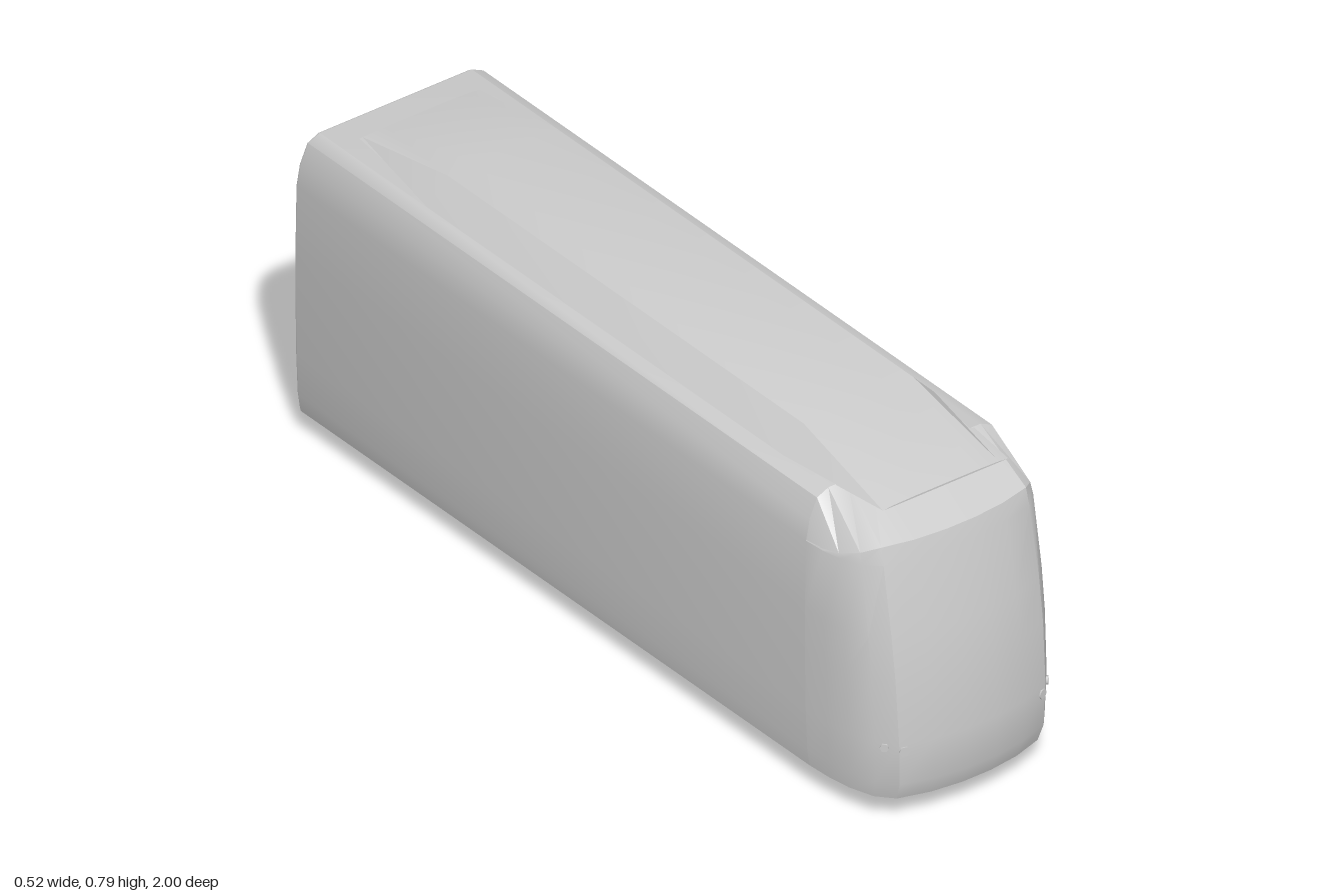
import * as THREE from 'three';
import { toCreasedNormals } from 'three/addons/utils/BufferGeometryUtils.js';

const paint = new THREE.MeshStandardMaterial({ color: 0xcccccc, side: THREE.DoubleSide });
paint.name = 'plain grey';

// Skin a row of equal-length cross-sections, optionally closed round and capped.
function loft(rings, { closed = true, capStart = true, capEnd = true, crease = 0.6 } = {}) {
  const n = rings[0].length, index = [];
  for (let i = 0; i < rings.length - 1; i++) {
    for (let j = 0; j < (closed ? n : n - 1); j++) {
      const k = (j + 1) % n;
      const a = i * n + j, b = i * n + k, c = a + n, d = b + n;
      index.push(a, b, d, a, d, c);
    }
  }
  const last = (rings.length - 1) * n;
  for (let j = 1; j < n - 1; j++) {
    if (capStart) index.push(0, j + 1, j);
    if (capEnd) index.push(last, last + j, last + j + 1);
  }
  const geo = new THREE.BufferGeometry();
  geo.setAttribute('position', new THREE.Float32BufferAttribute(rings.flat(2), 3));
  geo.setIndex(index);
  return toCreasedNormals(geo, crease);
}

function add(parent, name, geo) {
  const mesh = new THREE.Mesh(geo, paint);
  mesh.name = name;
  parent.add(mesh);
  return mesh;
}

// Half section of the body: half-width, height
const SIDE = [
  [0.25, 0.057], [0.256, 0.1], [0.26, 0.2], [0.262, 0.35], [0.262, 0.45],
  [0.259, 0.615], [0.25, 0.665], [0.23, 0.71], [0.2, 0.724],
];
const JOINT = 0.735; // z where the nose meets the body

function bodyRing(z, inset = 0) {
  const s = 1 - inset;
  const right = SIDE.map(([x, y]) => [x * s, 0.39 + (y - 0.39) * s, z]);
  return [...right, ...right.map(([x, y]) => [-x, y, z]).reverse()];
}

// Half plan of the nose: share of the half-width, share of the depth
const PLAN = [[1, 0], [0.985, 0.25], [0.95, 0.48], [0.87, 0.72], [0.74, 0.87], [0.45, 0.96], [0.15, 1]];

// Turn a half row on +x into a full row running from -x to +x
const mirrorRow = (half) => [...half.map(([x, y, z]) => [-x, y, z]), ...[...half].reverse()];

function noseGeometry() {
  const fronts = [0.98, 0.997, 1, 0.988, 0.973, 0.938];
  const rings = fronts.map((f, i) => {
    const [w, y] = SIDE[i];
    return mirrorRow(PLAN.map(([u, v]) => [u * w, y, JOINT + v * (f - JOINT)]));
  });
  // upper rim, dropping at the corners
  rings.push(mirrorRow(PLAN.map(([u, v]) =>
    [u * 0.257, 0.615 + 0.04 * Math.min(1, (1 - u) / 0.2), JOINT + v * 0.192])));
  // sloping brow running back to the roof
  const roof = [...SIDE.slice(5), [0.15, 0.724], [0.09, 0.724], [0.03, 0.724]];
  rings.push(mirrorRow(roof.map(([x, y]) => [x, y, JOINT])));
  return loft(rings, { closed: false, capEnd: false, crease: 0.5 });
}

// Roof pod section: base and shoulder half-widths, shoulder and top heights
function podRing(z, base, shoulder, crown, yShoulder, yTop) {
  const right = [[base, 0.723, z], [shoulder, yShoulder, z], [crown, yTop, z]];
  return [...right, ...right.map(([x, y]) => [-x, y, z]).reverse()];
}

export function createModel() {
  const model = new THREE.Group();
  model.name = 'railCar';

  add(model, 'body', loft([bodyRing(-1, 0.012), bodyRing(-0.993), bodyRing(JOINT)], { capEnd: false }));
  add(model, 'nose', noseGeometry());

  add(model, 'roofPod', loft([
    podRing(-0.925, 0.165, 0.14, 0.08, 0.7245, 0.726),
    podRing(-0.63, 0.2, 0.145, 0.08, 0.781, 0.789),
    podRing(0.58, 0.2, 0.145, 0.08, 0.781, 0.789),
    podRing(0.875, 0.165, 0.14, 0.08, 0.7255, 0.727),
  ], { crease: 0.45 }));

  // Wheels, half hidden in the floor
  for (const side of [-1, 1]) {
    const sideName = side > 0 ? 'left' : 'right';
    [0, -0.4].forEach((z, i) => {
      const geo = new THREE.CylinderGeometry(0.058, 0.058, 0.022, 8).rotateZ(Math.PI / 2);
      add(model, `${sideName}Wheel${i + 1}`, geo).position.set(side * 0.166, 0.058, z);
    });
    // Small six-sided lamps set on the nose
    const lamps = [
      ['InnerLamp', 0.181, 0.183, 0.968, 0.012, 0.31],
      ['OuterLamp', 0.213, 0.191, 0.942, 0.01, 0.86],
    ];
    for (const [name, x, y, z, r, turn] of lamps) {
      const geo = new THREE.CylinderGeometry(r, r, 0.008, 6).rotateX(Math.PI / 2).rotateZ(Math.PI / 6);
      const lamp = add(model, sideName + name, geo);
      lamp.position.set(side * x, y, z);
      lamp.rotation.y = side * turn;
    }
  }
  return model;
}
